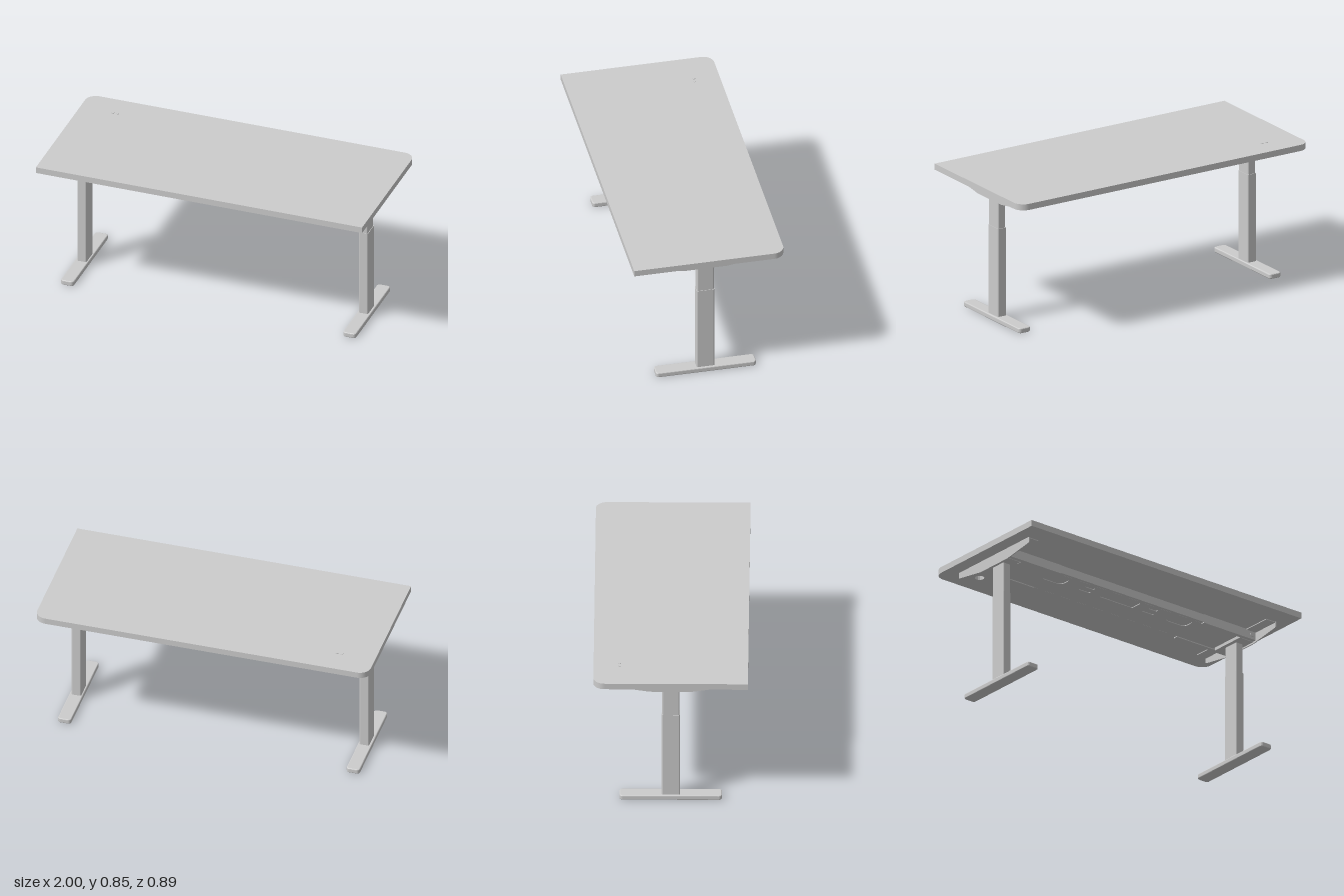
import * as THREE from 'three';

const grey = new THREE.MeshStandardMaterial({ color: 0xcccccc });
grey.name = 'light grey';

export function createModel() {
  const desk = new THREE.Group();
  desk.name = 'standingDesk';

  const add = (name, geometry, x = 0, y = 0, z = 0) => {
    const mesh = new THREE.Mesh(geometry, grey);
    mesh.name = name;
    mesh.position.set(x, y, z);
    desk.add(mesh);
    return mesh;
  };
  // Box given by its lower and upper limits
  const box = (name, x0, x1, y0, y1, z0, z1) =>
    add(name, new THREE.BoxGeometry(x1 - x0, y1 - y0, z1 - z0), (x0 + x1) / 2, (y0 + y1) / 2, (z0 + z1) / 2);

  // Rectangle outline in plan (shape y is -z), with front and back corner radii
  const outline = (w, d, rFront, rBack, Kind = THREE.Shape, cx = 0, cz = 0) => {
    const s = new Kind();
    const corners = [[-1, -1, rFront, Math.PI], [1, -1, rFront, Math.PI * 1.5], [1, 1, rBack, 0], [-1, 1, rBack, Math.PI / 2]];
    corners.forEach(([sx, sy, r, a], i) => {
      const x = cx + sx * (w / 2 - r), y = -cz + sy * (d / 2 - r);
      if (r > 0) {
        if (i === 0) s.moveTo(x + r * Math.cos(a), y + r * Math.sin(a));
        s.absarc(x, y, r, a, a + Math.PI / 2, false);
      } else if (i === 0) s.moveTo(x, y);
      else s.lineTo(x, y);
    });
    s.closePath();
    return s;
  };
  // Plan shape raised upwards
  const slab = (shape, height, bevel = 0) => {
    const g = new THREE.ExtrudeGeometry(shape, {
      depth: height - 2 * bevel, curveSegments: 8, bevelEnabled: bevel > 0,
      bevelThickness: bevel, bevelSize: bevel, bevelOffset: -bevel, bevelSegments: 3,
    });
    return g.rotateX(-Math.PI / 2).translate(0, bevel, 0);
  };

  // Tabletop with rounded back corners and a cable hole
  const top = outline(2, 0.89, 0, 0.065);
  const hole = new THREE.Path();
  hole.absarc(-0.785, 0.295, 0.028, 0, Math.PI * 2, true);
  top.holes.push(hole);
  add('tabletop', slab(top, 0.037), 0, 0.805, 0);

  // Hole cap and its raised switch pieces
  add('holeCap', new THREE.CircleGeometry(0.028, 24).rotateX(-Math.PI / 2), -0.785, 0.842, -0.295);
  for (const x of [-0.8, -0.77])
    add('capButton', new THREE.CylinderGeometry(0.009, 0.009, 0.003, 16), x, 0.8435, -0.295);

  // Long rails: telescoping outer ends around a slimmer centre
  for (const s of [-1, 1]) {
    const z = s * 0.125;
    box('centreRail', -0.55, 0.55, 0.757, 0.805, z - 0.009, z + 0.009);
    for (const e of [-1, 1]) {
      box('outerRail', e > 0 ? 0.53 : -0.915, e > 0 ? 0.915 : -0.53, 0.751, 0.805, z - 0.012, z + 0.012);
      add('railBolt', new THREE.CylinderGeometry(0.014, 0.014, 0.004, 20).rotateX(Math.PI / 2), e * 0.888, 0.78, z + s * 0.013);
    }
  }

  // Under-frame tray with cable openings and slots
  const tray = outline(1.6, 0.23, 0, 0);
  for (const [x, z, w, d, r] of [
    [0.41, 0.055, 0.15, 0.09, 0.03], [-0.03, 0.06, 0.24, 0.08, 0.008], [-0.5, 0.05, 0.15, 0.09, 0.03],
    [0.2, 0.03, 0.08, 0.018, 0.008], [-0.27, 0.03, 0.08, 0.018, 0.008],
    [0.2, 0.08, 0.06, 0.018, 0.008], [-0.27, 0.08, 0.06, 0.018, 0.008],
  ]) tray.holes.push(outline(w, d, r, r, THREE.Path, x, z));
  add('cableTray', slab(tray, 0.004), 0, 0.757, 0);

  // Tapered side bracket profile, seen from the side
  const bracket = new THREE.Shape();
  bracket.moveTo(-0.32, 0.805);
  bracket.lineTo(-0.32, 0.78);
  bracket.quadraticCurveTo(-0.32, 0.77, -0.31, 0.768);
  bracket.lineTo(-0.12, 0.739);
  bracket.lineTo(0.12, 0.739);
  bracket.lineTo(0.31, 0.768);
  bracket.quadraticCurveTo(0.32, 0.77, 0.32, 0.78);
  bracket.lineTo(0.32, 0.805);
  bracket.closePath();

  for (const s of [-1, 1]) {
    const x = s * 0.863;
    const plate = new THREE.ExtrudeGeometry(bracket, { depth: 0.006, bevelEnabled: false });
    plate.rotateY(Math.PI / 2).translate(-0.003, 0, 0);
    add('sideBracket', plate, s * 0.915, 0, 0);
    box('bracketFlange', s * 0.88 - 0.035, s * 0.88 + 0.035, 0.8, 0.805, -0.315, 0.315);
    box('legMount', x - 0.05, x + 0.05, 0.748, 0.803, -0.114, 0.114);

    // Two-stage lifting column
    add('lowerColumn', slab(outline(0.058, 0.106, 0.008, 0.008), 0.537), x, 0.028, 0.001);
    add('upperColumn', slab(outline(0.052, 0.1, 0.008, 0.008), 0.2), x, 0.55, 0.001);

    // Foot with rounded ends
    add('foot', slab(outline(0.08, 0.59, 0.018, 0.018), 0.03, 0.006), s * 0.865, 0, 0);
  }
  return desk;
}
